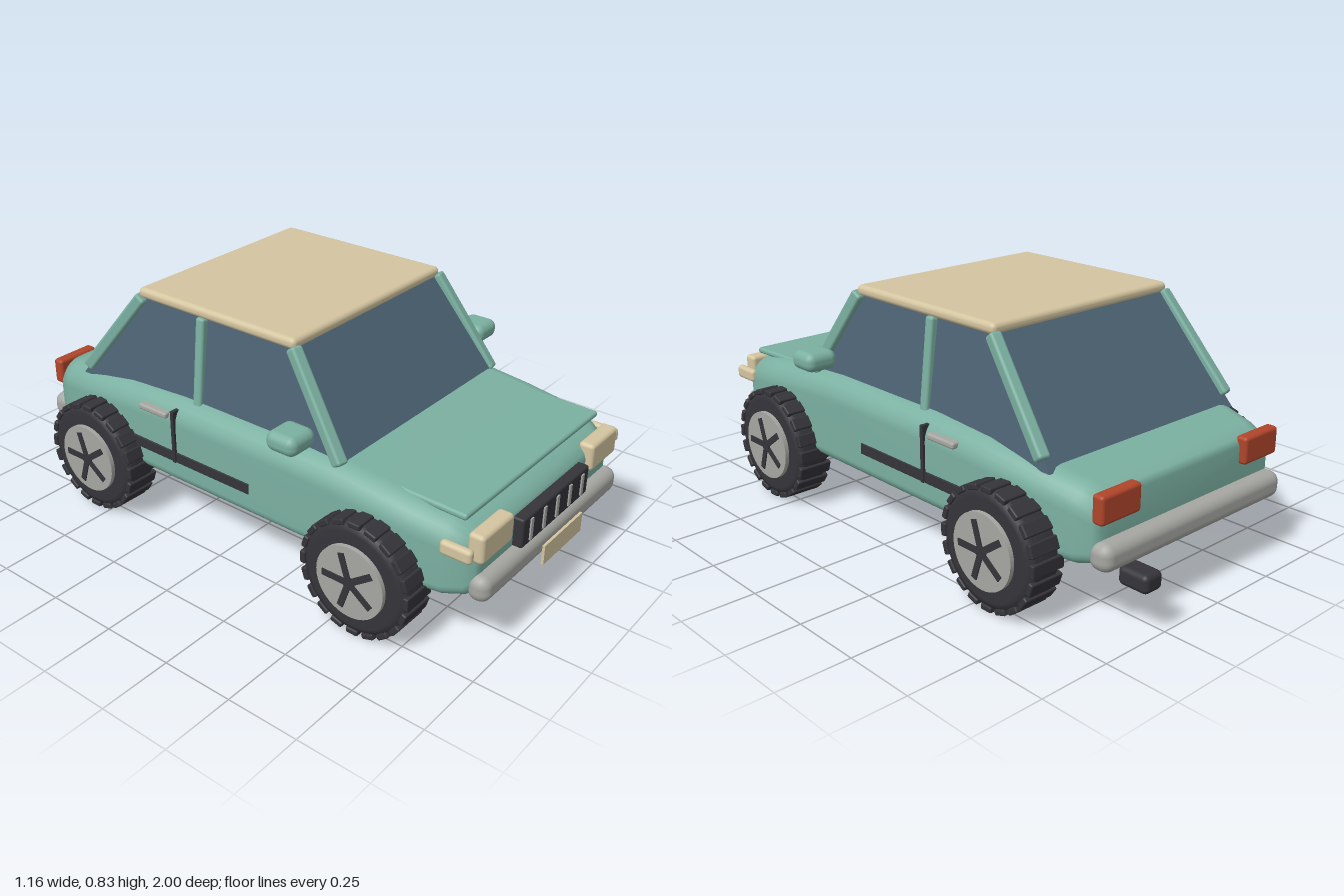
import * as THREE from 'three';
import { RoundedBoxGeometry } from 'three/addons/geometries/RoundedBoxGeometry.js';
import { ConvexGeometry } from 'three/addons/geometries/ConvexGeometry.js';

const material = (name, color) => {
  const m = new THREE.MeshStandardMaterial({ color });
  m.name = name;
  return m;
};

export function createModel() {
  const paint = material('teal paint', 0x7bb0a1);
  const cream = material('cream', 0xd4c5a0);
  const metal = material('grey metal', 0xa6a7a2);
  const dark = material('dark rubber', 0x34343a);
  const glass = material('blue glass', 0x4d6475);
  const red = material('red lamp', 0xb0452a);

  const car = new THREE.Group();
  car.name = 'car';

  const add = (parent, name, geometry, mat, x = 0, y = 0, z = 0) => {
    const mesh = new THREE.Mesh(geometry, mat);
    mesh.name = name;
    mesh.position.set(x, y, z);
    parent.add(mesh);
    return mesh;
  };
  // Rounded block given by its extents on each axis
  const block = (name, mat, [x0, x1], [y0, y1], [z0, z1], r) =>
    add(car, name, new RoundedBoxGeometry(x1 - x0, y1 - y0, z1 - z0, 3, r), mat,
      (x0 + x1) / 2, (y0 + y1) / 2, (z0 + z1) / 2);
  // The same block on the left or right side
  const sideBlock = (s, name, mat, [x0, x1], y, z, r) =>
    block(name, mat, s > 0 ? [x0, x1] : [-x1, -x0], y, z, r);
  // Bar running between two points
  const bar = (name, a, b, w, h) => {
    const from = new THREE.Vector3(...a), to = new THREE.Vector3(...b);
    const mid = from.clone().add(to).multiplyScalar(0.5);
    const mesh = add(car, name, new RoundedBoxGeometry(w, h, from.distanceTo(to), 2, 0.01), paint, ...mid);
    mesh.lookAt(to);
  };

  add(car, 'body', bodyGeometry(), paint);

  // Hood panel, sinking into the body towards the windscreen
  const hood = block('hoodPanel', paint, [-0.405, 0.405], [0.457, 0.479], [0.62, 0.885], 0.01);
  hood.rotation.x = 0.025;

  // Glass cabin and roof
  const cabin = [];
  for (const s of [-1, 1]) {
    for (const [x, y, z] of [[0.43, 0.45, 0.5], [0.43, 0.45, -0.7], [0.38, 0.805, 0.24], [0.38, 0.805, -0.42]]) {
      cabin.push(new THREE.Vector3(s * x, y, z));
    }
  }
  add(car, 'windows', new ConvexGeometry(cabin), glass);
  block('roof', cream, [-0.397, 0.397], [0.795, 0.833], [-0.428, 0.247], 0.017);

  // Nose and tail
  block('frontBumper', metal, [-0.42, 0.42], [0.2, 0.29], [0.9, 0.975], 0.035);
  block('rearBumper', metal, [-0.42, 0.42], [0.2, 0.29], [-0.92, -0.835], 0.035);
  block('grille', dark, [-0.207, 0.207], [0.288, 0.39], [0.92, 0.965], 0.008);
  for (let i = -2; i <= 2; i++) {
    add(car, 'grilleBar', new THREE.BoxGeometry(0.015, 0.075, 0.008), metal, i * 0.08, 0.34, 0.966);
  }
  add(car, 'plate', new THREE.BoxGeometry(0.24, 0.068, 0.009), cream, 0, 0.234, 0.994);
  block('exhaust', dark, [0.266, 0.343], [0.146, 0.207], [-1, -0.89], 0.018);

  for (const s of [-1, 1]) {
    // Pillars
    bar('frontPillar', [s * 0.43, 0.49, 0.455], [s * 0.388, 0.805, 0.238], 0.042, 0.042);
    bar('middlePillar', [s * 0.422, 0.48, -0.14], [s * 0.388, 0.8, -0.14], 0.035, 0.035);
    bar('rearPillar', [s * 0.427, 0.485, -0.67], [s * 0.387, 0.8, -0.415], 0.042, 0.042);

    // Lamps
    sideBlock(s, 'headlight', cream, [0.245, 0.42], [0.338, 0.435], [0.9, 0.955], 0.014);
    sideBlock(s, 'turnSignal', cream, [0.438, 0.467], [0.358, 0.405], [0.835, 0.942], 0.013);
    sideBlock(s, 'tailLight', red, [0.247, 0.416], [0.345, 0.438], [-0.893, -0.85], 0.012);

    // Side trim
    sideBlock(s, 'mirror', paint, [0.458, 0.578], [0.546, 0.613], [0.275, 0.39], 0.029);
    sideBlock(s, 'sillStripe', dark, [0.46, 0.489], [0.287, 0.325], [-0.4, 0.127], 0.002);
    sideBlock(s, 'doorSeam', dark, [0.44, 0.494], [0.287, 0.48], [-0.208, -0.194], 0.002);
    sideBlock(s, 'doorHandle', metal, [0.455, 0.497], [0.442, 0.464], [-0.355, -0.228], 0.008);

    // Wheels
    for (const z of [0.596, -0.562]) {
      const wheel = wheelGroup(add, dark, metal);
      wheel.position.set(s * 0.49, 0.203, z);
      if (s < 0) wheel.rotation.y = Math.PI;
      car.add(wheel);
    }
  }
  return car;
}

// Wheel with its axle on x and its outer face towards +x
function wheelGroup(add, dark, metal) {
  const wheel = new THREE.Group();
  wheel.name = 'wheel';
  const profile = [[0, -0.06], [0.165, -0.064], [0.185, -0.056], [0.195, -0.04],
    [0.195, 0.04], [0.185, 0.056], [0.165, 0.064], [0, 0.06]];
  const tyre = new THREE.LatheGeometry(profile.map(([r, h]) => new THREE.Vector2(r, h)), 40);
  add(wheel, 'tyre', tyre.rotateZ(-Math.PI / 2), dark);
  const treads = 20;
  for (let i = 0; i < treads; i++) {
    const tread = new RoundedBoxGeometry(0.126, 0.02, 0.044, 1, 0.005);
    tread.translate(0, 0.192, 0).rotateX((i / treads) * Math.PI * 2);
    add(wheel, 'tread', tread, dark);
  }
  const disc = new THREE.CylinderGeometry(0.124, 0.124, 0.03, 40).rotateZ(-Math.PI / 2);
  add(wheel, 'hubDisc', disc, metal, 0.063);
  for (let i = 0; i < 5; i++) {
    const spoke = new THREE.BoxGeometry(0.008, 0.022, 0.1);
    spoke.translate(0, 0, 0.05).rotateX((i / 5) * Math.PI * 2);
    add(wheel, 'spoke', spoke, dark, 0.078);
  }
  const cap = new THREE.CylinderGeometry(0.022, 0.022, 0.01, 20).rotateZ(-Math.PI / 2);
  add(wheel, 'hubCap', cap, dark, 0.078);
  return wheel;
}

// Body lofted along z through rounded rectangles
function bodyGeometry() {
  // z, half width, bottom, top
  const sections = [
    [-0.868, 0.39, 0.24, 0.405], [-0.855, 0.415, 0.212, 0.428], [-0.8, 0.435, 0.2, 0.445],
    [-0.65, 0.465, 0.2, 0.472], [-0.45, 0.482, 0.2, 0.497], [-0.2, 0.485, 0.2, 0.51],
    [0.3, 0.485, 0.2, 0.51], [0.45, 0.484, 0.2, 0.503], [0.6, 0.481, 0.2, 0.488],
    [0.72, 0.476, 0.2, 0.473], [0.84, 0.457, 0.2, 0.452], [0.9, 0.428, 0.208, 0.428],
    [0.925, 0.405, 0.225, 0.4], [0.932, 0.385, 0.245, 0.38]];
  const steps = 6;
  const positions = [], index = [];
  for (const [z, w, y0, y1] of sections) {
    const low = 0.04, high = 0.085;
    const corners = [[w - low, y0 + low, low, -1], [w - high, y1 - high, high, 0],
      [high - w, y1 - high, high, 1], [low - w, y0 + low, low, 2]];
    for (const [cx, cy, r, quarter] of corners) {
      for (let k = 0; k <= steps; k++) {
        const a = (quarter + k / steps) * Math.PI / 2;
        positions.push(cx + r * Math.cos(a), cy + r * Math.sin(a), z);
      }
    }
  }
  const n = 4 * (steps + 1), last = (sections.length - 1) * n;
  for (let j = 0; j < last; j += n) {
    for (let i = 0; i < n; i++) {
      const a = j + i, b = j + (i + 1) % n;
      index.push(a, b, b + n, a, b + n, a + n);
    }
  }
  // End caps
  for (let i = 1; i < n - 1; i++) {
    index.push(0, i + 1, i, last, last + i, last + i + 1);
  }
  const geometry = new THREE.BufferGeometry();
  geometry.setAttribute('position', new THREE.Float32BufferAttribute(positions, 3));
  geometry.setIndex(index);
  geometry.computeVertexNormals();
  return geometry;
}
